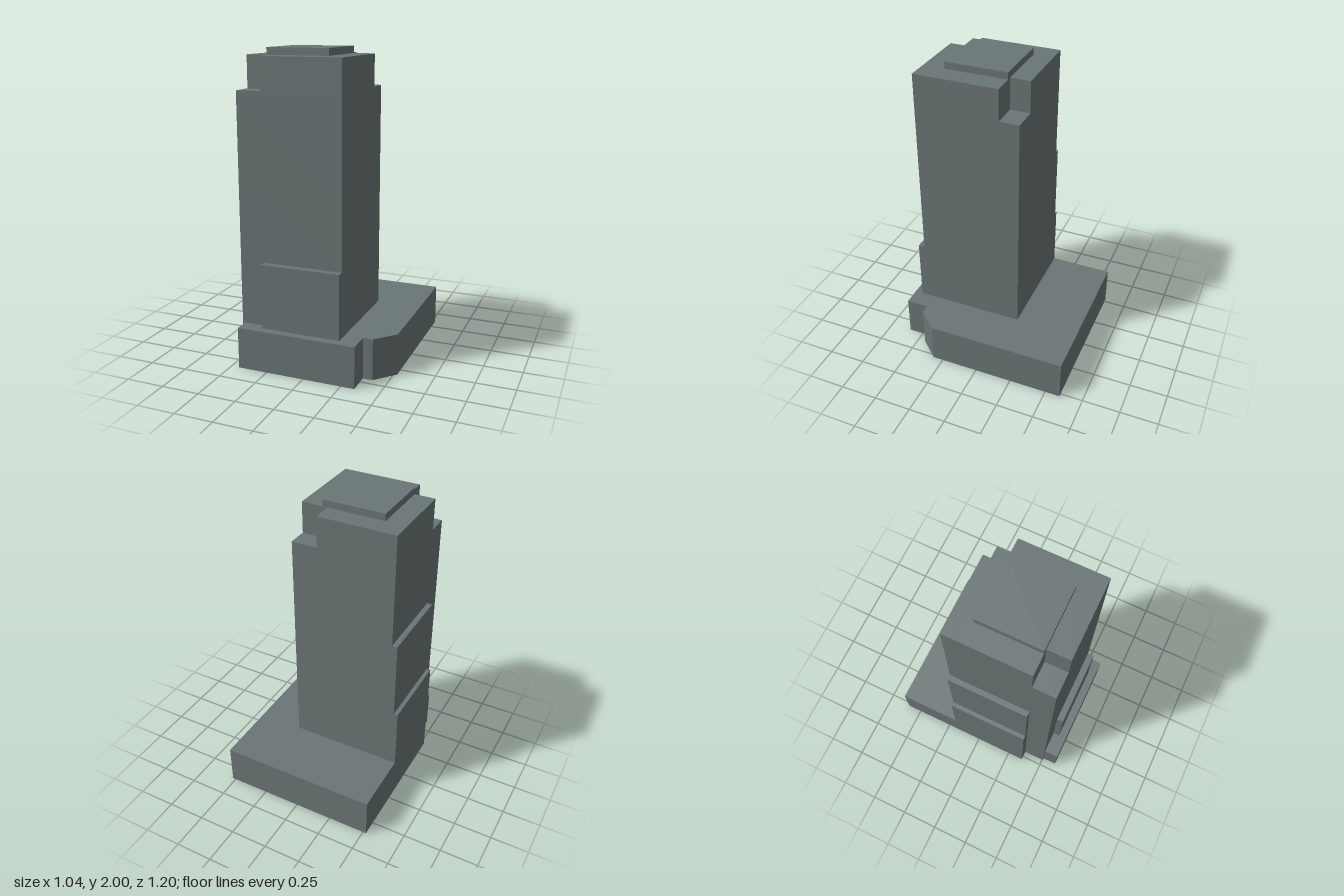
import * as THREE from 'three';

const stone = new THREE.MeshStandardMaterial({ color: 0x6a7575, side: THREE.DoubleSide });
stone.name = 'slate grey';

// Upright walls around a closed footprint of [x, z] corners; open above and below
function walls(outline, y0, y1) {
  const pos = [];
  outline.forEach(([ax, az], i) => {
    const [bx, bz] = outline[(i + 1) % outline.length];
    pos.push(ax, y0, az, ax, y1, az, bx, y1, bz, ax, y0, az, bx, y1, bz, bx, y0, bz);
  });
  const g = new THREE.BufferGeometry();
  g.setAttribute('position', new THREE.Float32BufferAttribute(pos, 3));
  g.computeVertexNormals();
  return g;
}

// Flat roof or ledge facing up
function deck(outline, y) {
  const shape = new THREE.Shape(outline.map(([x, z]) => new THREE.Vector2(x, -z)));
  return new THREE.ShapeGeometry(shape).rotateX(-Math.PI / 2).translate(0, y, 0);
}

const rect = (x0, x1, z0, z1) => [[x0, z0], [x1, z0], [x1, z1], [x0, z1]];

// Main lines of the plan
const L = -0.46, R = 0.222, B = -0.18, F = 0.505;   // shaft
const L1 = -0.522, L2 = -0.495, F1 = 0.548;         // side and front layers
const NX = -0.298, NZ = 0.36;                       // front-left corner notch
const MX = 0.05, MZ = -0.05;                        // back-right corner notch
const PX0 = -0.325, PX1 = 0.082;                    // roof block

// Each tier: footprint, height range and the ledges left exposed on top
const tiers = [
  {
    name: 'podium', y: [0, 0.27],
    plan: [[L1, -0.6], [0.522, -0.6], [0.522, 0.32], [0.403, 0.45], [0.34, 0.45], [0.34, 0.6],
      [-0.445, 0.6], [-0.445, F], [L, F], [L, NZ], [L1, NZ]],
    decks: [[[L1, -0.6], [0.522, -0.6], [0.522, 0.32], [0.403, 0.45], [0.34, 0.45], [0.34, 0.6],
      [-0.445, 0.6], [-0.445, F], [NX, F], [NX, F1], [R, F1], [R, B], [L1, B]]],
  },
  {
    name: 'lowerShaft', y: [0.27, 0.69],
    plan: [[L1, B], [R, B], [R, F1], [NX, F1], [NX, F], [L, F], [L, NZ], [L1, NZ]],
    decks: [rect(L1, L2, B, NZ), rect(NX, R, F, F1)],
  },
  {
    name: 'middleShaft', y: [0.69, 1.217],
    plan: [[L2, B], [R, B], [R, F], [L, F], [L, NZ], [L2, NZ]],
    decks: [rect(L2, L, B, NZ)],
  },
  {
    name: 'upperShaft', y: [1.217, 1.75],
    plan: rect(L, R, B, F),
    decks: [rect(L, NX, NZ, F), rect(MX, R, B, MZ)],
  },
  {
    name: 'notchedCrown', y: [1.75, 1.955],
    plan: [[L, B], [MX, B], [MX, MZ], [R, MZ], [R, F], [NX, F], [NX, NZ], [L, NZ]],
    decks: [
      [[L, B], [MX, B], [MX, MZ], [PX0, MZ], [PX0, NZ], [L, NZ]],
      [[PX1, MZ], [R, MZ], [R, F], [NX, F], [NX, NZ], [PX1, NZ]],
    ],
  },
  {
    name: 'roofBlock', y: [1.955, 2],
    plan: rect(PX0, PX1, MZ, NZ),
    decks: [rect(PX0, PX1, MZ, NZ)],
  },
];

export function createModel() {
  const model = new THREE.Group();
  model.name = 'steppedTower';
  for (const { name, y, plan, decks } of tiers) {
    const tier = new THREE.Group();
    tier.name = name;
    const add = (geometry, part) => {
      const mesh = new THREE.Mesh(geometry, stone);
      mesh.name = part;
      tier.add(mesh);
    };
    add(walls(plan, y[0], y[1]), name + 'Walls');
    decks.forEach((d) => add(deck(d, y[1]), name + 'Ledge'));
    model.add(tier);
  }
  return model;
}
